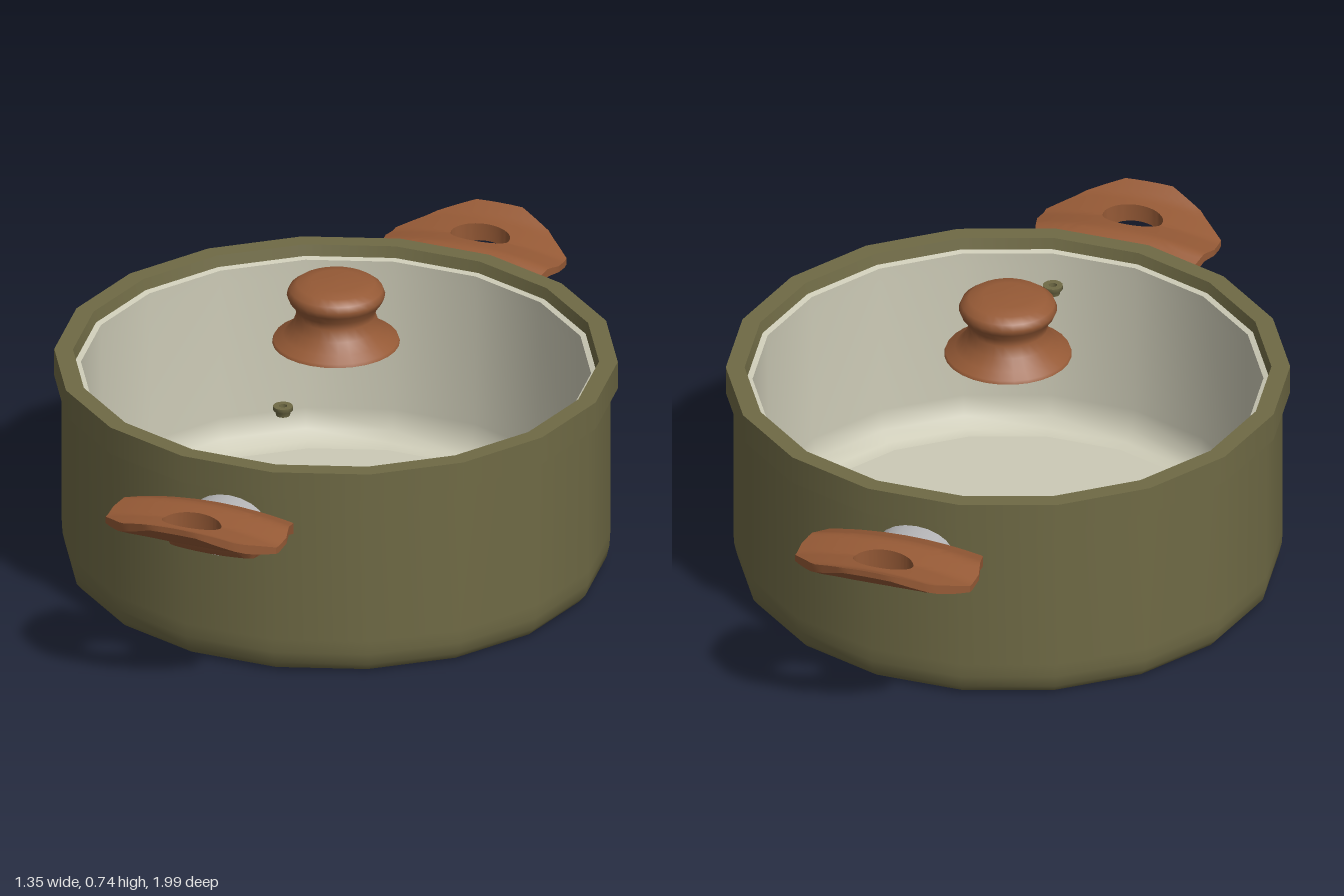
import * as THREE from 'three';
import { toCreasedNormals } from 'three/addons/utils/BufferGeometryUtils.js';

const mat = (name, color, side = THREE.FrontSide) => {
  const m = new THREE.MeshStandardMaterial({ color, side });
  m.name = name;
  return m;
};

const part = (name, geometry, material) => {
  const m = new THREE.Mesh(geometry, material);
  m.name = name;
  return m;
};

// Turned part; a point listed twice makes a sharp edge
const lathe = (pts, sides, start = 0) =>
  new THREE.LatheGeometry(pts.map(([r, y]) => new THREE.Vector2(r, y)), sides, start);

// Piecewise linear lookup
const sample = (table, t) => {
  for (let i = 1; i < table.length; i++) {
    const [t0, v0] = table[i - 1], [t1, v1] = table[i];
    if (t <= t1) return THREE.MathUtils.mapLinear(Math.max(t, t0), t0, t1, v0, v1);
  }
  return table[table.length - 1][1];
};

// Curved grip plate with a finger hole and a thick root below
function gripGeometry() {
  const half = [[0.11, 0.717], [0.195, 0.717], [0.21, 0.775], [0.225, 0.83], [0.222, 0.885], [0.145, 0.957], [0.06, 0.997]];
  const outline = [...half, ...half.map(([x, z]) => [-x, z]).reverse()];
  const spine = [[0.717, 0.462], [0.79, 0.49], [0.87, 0.478], [0.95, 0.49], [1, 0.515]];
  const plate = [[0.717, 0.065], [0.88, 0.063], [1, 0.014]];
  const smooth = THREE.MathUtils.smoothstep;
  const top = (x, z) => sample(spine, z) - 0.5 * x * x;
  const bottom = (x, z) => {
    const thin = sample(plate, z) * (1 - 0.75 * (x / 0.225) ** 2);
    const root = 0.07 * (1 - smooth(Math.abs(x), 0.1, 0.14)) * (1 - smooth(z, 0.765, 0.815));
    return top(x, z) - thin - root;
  };

  const steps = 4, rings = 7, holeZ = 0.88;
  const rim = [];
  outline.forEach(([x, z], i) => {
    const [nx, nz] = outline[(i + 1) % outline.length];
    for (let s = 0; s < steps; s++) rim.push([x + (nx - x) * s / steps, z + (nz - z) * s / steps]);
  });

  // Each section runs from the hole outward on top and back underneath
  const pos = [], index = [], loop = 2 * (rings + 1);
  rim.forEach(([x, z], u) => {
    const a = Math.atan2((z - holeZ) / 0.6, x);
    const hx = 0.075 * Math.cos(a), hz = holeZ + 0.046 * Math.sin(a);
    for (let v = 0; v < loop; v++) {
      const upper = v <= rings;
      const t = (upper ? v : loop - 1 - v) / rings;
      const px = hx + (x - hx) * t, pz = hz + (z - hz) * t;
      pos.push(px, (upper ? top : bottom)(px, pz), pz);
      const u1 = (u + 1) % rim.length, v1 = (v + 1) % loop;
      const A = u * loop + v, B = u1 * loop + v, C = u * loop + v1, D = u1 * loop + v1;
      index.push(A, B, C, B, D, C);
    }
  });
  const g = new THREE.BufferGeometry();
  g.setAttribute('position', new THREE.Float32BufferAttribute(pos, 3));
  g.setIndex(index);
  return toCreasedNormals(g, 0.7);
}

export function createModel() {
  const olive = mat('olive enamel', 0x6f6a45);
  const cream = mat('cream lining', 0xcccab6, THREE.DoubleSide);
  const wood = mat('brown wood', 0x965a36);
  const metal = mat('grey metal', 0xb4b4b6);
  const model = new THREE.Group();
  model.name = 'cookingPot';
  const SIDES = 18, START = Math.PI / SIDES;

  // Outer shell with rounded foot and raised rim band
  model.add(part('potBody', lathe([
    [0, 0], [0.61, 0], [0.632, 0.006], [0.648, 0.025], [0.655, 0.055], [0.657, 0.09],
    [0.657, 0.47], [0.657, 0.47], [0.675, 0.47], [0.675, 0.47],
    [0.675, 0.54], [0.675, 0.54], [0.63, 0.54], [0.63, 0.54], [0.624, 0.512],
  ], SIDES, START), olive));

  // Inner lining with a small lid ledge
  model.add(part('potLining', lathe([
    [0.624, 0.512], [0.611, 0.508], [0.611, 0.508], [0.611, 0.47], [0.607, 0.12],
    [0.595, 0.07], [0.57, 0.048], [0.54, 0.043], [0.54, 0.043], [0, 0.043],
  ], SIDES, START), cream));

  // Lid knob
  model.add(part('lidKnob', lathe([
    [0, 0.578], [0.153, 0.578], [0.153, 0.578], [0.15, 0.586], [0.127, 0.598], [0.105, 0.622],
    [0.095, 0.65], [0.097, 0.668], [0.112, 0.688], [0.118, 0.703], [0.112, 0.718],
    [0.094, 0.731], [0.06, 0.738], [0, 0.739],
  ], 28), wood));

  // Steam vent ring
  const vent = part('steamVent', lathe([
    [0.01, 0], [0.017, 0], [0.017, 0], [0.019, 0.012], [0.024, 0.014], [0.024, 0.024],
    [0.024, 0.024], [0.01, 0.024], [0.01, 0.024], [0.01, 0],
  ], 14), olive);
  vent.position.set(0.017, 0.543, 0.363);
  model.add(vent);

  // Side handles, front and back
  const grip = gripGeometry();
  const bracket = new THREE.CylinderGeometry(1, 1, 0.11, 20);
  bracket.rotateX(Math.PI / 2);
  bracket.scale(0.094, 0.06, 1);
  bracket.translate(0, 0.39, 0.68);
  ['front', 'back'].forEach((end, i) => {
    const handle = new THREE.Group();
    handle.name = end + 'Handle';
    handle.add(part(end + 'Grip', grip, wood), part(end + 'Bracket', bracket, metal));
    handle.rotation.y = i * Math.PI;
    model.add(handle);
  });
  return model;
}
